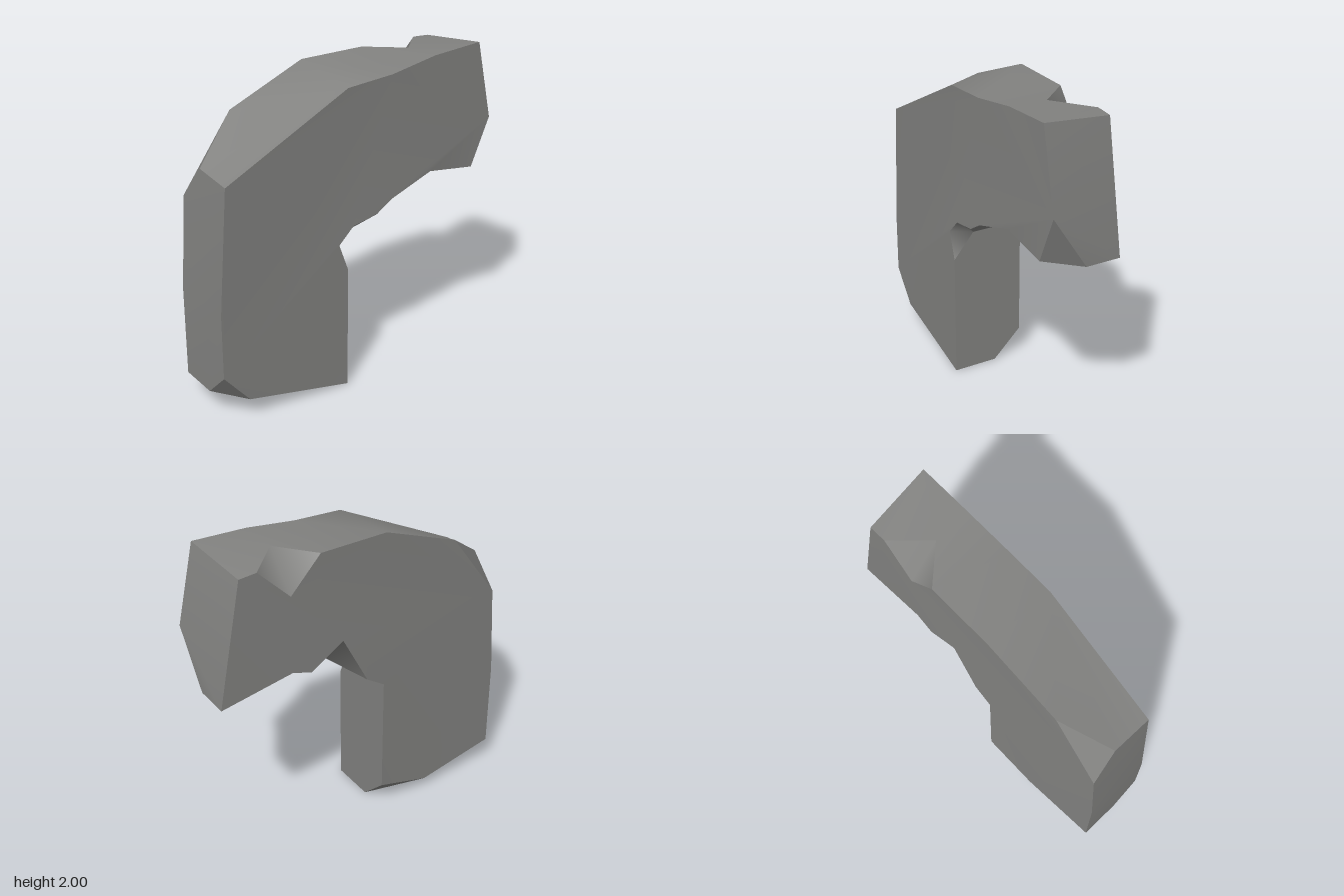
import * as THREE from 'three';
import { toCreasedNormals } from 'three/addons/utils/BufferGeometryUtils.js';

// Outlines of the front and back faces, counter-clockwise seen from the front
const FRONT = [
  [-0.11, 0], [-0.11, 0.79], [-0.17, 0.96], [-0.07, 1.06], [0.10, 1.09], [0.21, 1.16],
  [0.51, 1.26], [0.84, 1.21], [0.97, 1.51], [0.86, 2], [0.52, 1.98], [0.20, 1.93],
  [-0.11, 1.91], [-0.91, 1.505], [-0.97, 0.74], [-0.97, 0.34], [-0.80, 0.14],
];
const BACK = [
  [-0.46, 0.07], [-0.11, 0.18], [-0.11, 0.95], [0.01, 1.03], [0.18, 1.36], [0.39, 1.22],
  [0.51, 1.26], [0.97, 1.18], [0.82, 1.95], [0.71, 1.957], [0.51, 1.75], [0.32, 1.96],
  [-0.11, 1.96], [-0.61, 1.76], [-0.93, 1.32], [-0.97, 0.74], [-0.97, 0.17],
];

// Half thickness swells slightly around the bend
function halfDepth(x) {
  const away = Math.max(-0.11 - x, x - 0.21, 0);
  return 0.23 - 0.015 * Math.min(away / 0.4, 1);
}

// Points by name: F = front outline, B = back outline, others = inner ends of chips
const P = {
  heel: [-0.97, 0.17, 0.04],
  elbow: [-0.11, 0.95, 0.10],
  under: [0.21, 1.16, 0],
  tip: [0.97, 1.18, 0],
  notch: [0.51, 1.97, -0.02],
  shoulder: [-0.91, 1.53, -0.05],
  foot: [-0.11, 0, -0.05],
};
FRONT.forEach(([x, y], i) => { P['F' + i] = [x, y, halfDepth(x)]; });
BACK.forEach(([x, y], i) => { P['B' + i] = [x, y, -halfDepth(x)]; });

// Faces running from front to back around the bend
const SIDES = [
  'F0 foot B1 B2 elbow F1',
  'elbow B2 B3 under F5 F4',
  'F5 under B5 B6 F6',
  'F6 B6 B7 tip F7',
  'F8 tip B7 B8 F9',
  'F9 B8 B9 notch F10',
  'F10 notch B11 F11',
  'F11 B11 B12 F12',
  'F12 B12 B13 shoulder F13',
  'F13 shoulder B14 B15 F14',
  'F14 B15 B16 heel F15',
  'F16 heel B16 B0 foot F0',
];

// Broken corners and edges
const CHIPS = {
  elbowChip: ['F1 elbow F2', 'F2 elbow F3', 'F3 elbow F4'],
  undersideChip: ['B3 B4 under', 'B4 B5 under'],
  tipChip: ['F7 tip F8'],
  topNotch: ['B9 B10 notch', 'B10 B11 notch'],
  shoulderChip: ['B13 B14 shoulder'],
  heelChip: ['F15 heel F16'],
  footChip: ['B0 B1 foot'],
};

// Triangle fan over a convex face
function fan(face) {
  const n = face.split(' ');
  const out = [];
  for (let i = 1; i < n.length - 1; i++) out.push(n[0], n[i], n[i + 1]);
  return out;
}

// Flat cap over a whole outline
function cap(outline, prefix, flip) {
  const pts = outline.map(([x, y]) => new THREE.Vector2(x, y));
  return THREE.ShapeUtils.triangulateShape(pts, [])
    .flatMap(([a, b, c]) => (flip ? [a, c, b] : [a, b, c]).map((i) => prefix + i));
}

function part(name, corners, crease, material) {
  const geo = new THREE.BufferGeometry();
  geo.setAttribute('position', new THREE.Float32BufferAttribute(corners.flatMap((k) => P[k]), 3));
  const mesh = new THREE.Mesh(toCreasedNormals(geo, crease), material);
  mesh.name = name;
  return mesh;
}

export function createModel() {
  const stone = new THREE.MeshStandardMaterial({ color: 0x828280 });
  stone.name = 'stone grey';

  const group = new THREE.Group();
  group.name = 'bentStone';
  group.add(part('frontFace', cap(FRONT, 'F', false), 0.6, stone));
  group.add(part('backFace', cap(BACK, 'B', true), 0.6, stone));
  group.add(part('sides', SIDES.flatMap(fan), 0.6, stone));
  // Chips are smooth inside and sharp at their rims
  for (const [name, faces] of Object.entries(CHIPS)) {
    group.add(part(name, faces.flatMap(fan), Math.PI, stone));
  }
  return group;
}
